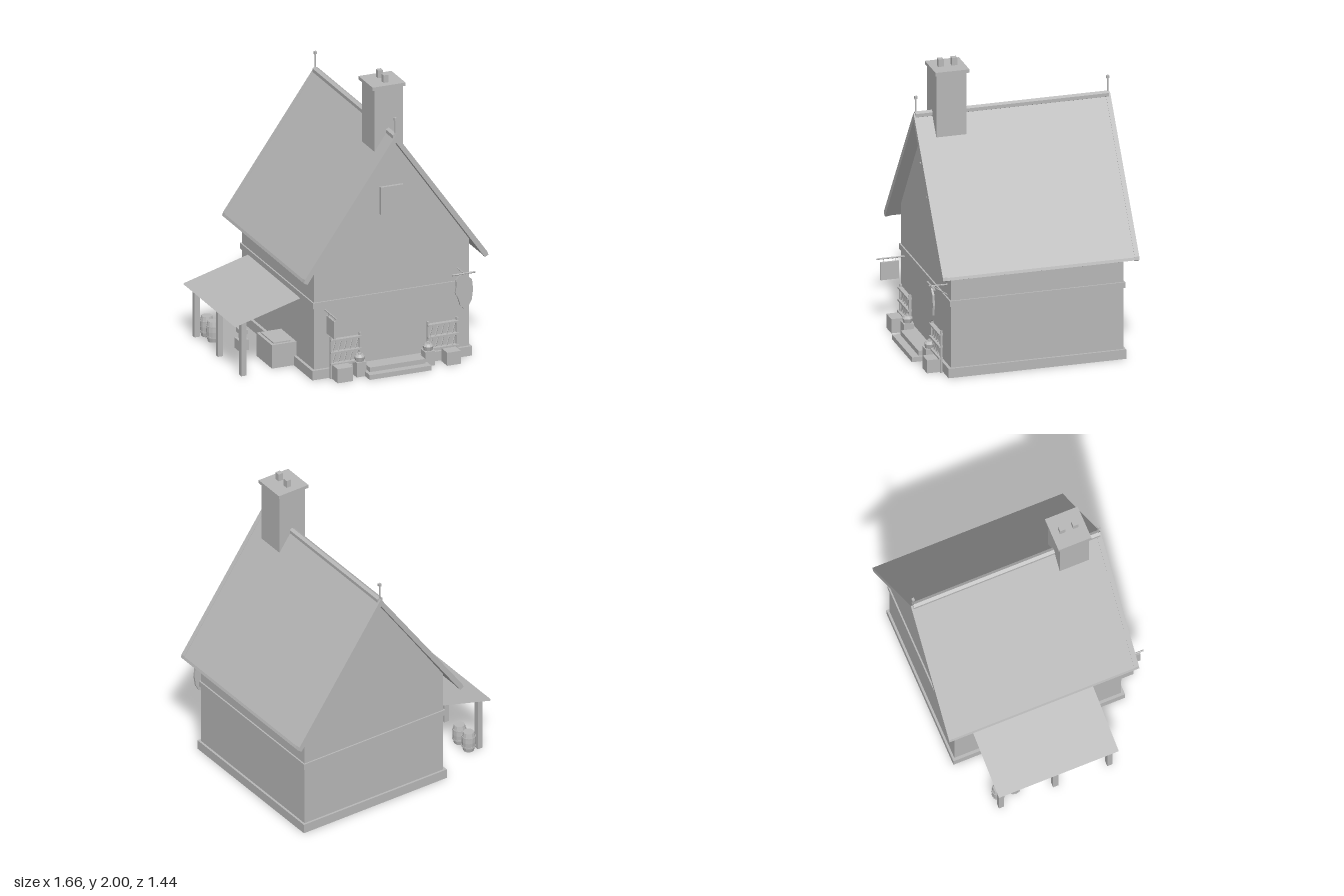
import * as THREE from 'three';

export function createModel() {
  const model = new THREE.Group();
  const stone = new THREE.MeshStandardMaterial({ color: 0xb8b8b8, flatShading: true });
  stone.name = 'plain grey';
  const sheet = stone.clone();
  sheet.name = 'plain grey sheet';
  sheet.side = THREE.DoubleSide;

  function add(name, geometry, parent = model, material = stone) {
    const mesh = new THREE.Mesh(geometry, material);
    mesh.name = name;
    parent.add(mesh);
    return mesh;
  }
  // Box given by its limits on each axis
  function box(name, x0, x1, y0, y1, z0, z1, parent) {
    const m = add(name, new THREE.BoxGeometry(x1 - x0, y1 - y0, z1 - z0), parent);
    m.position.set((x0 + x1) / 2, (y0 + y1) / 2, (z0 + z1) / 2);
    return m;
  }
  // Flat outline pushed from z0 to z1
  function slab(name, points, z0, z1, parent) {
    const shape = new THREE.Shape(points.map(p => new THREE.Vector2(p[0], p[1])));
    const m = add(name, new THREE.ExtrudeGeometry(shape, { depth: z1 - z0, bevelEnabled: false }), parent);
    m.position.z = z0;
    return m;
  }
  // Straight rod between two points
  function rod(name, a, b, r, parent, sides = 6) {
    const from = new THREE.Vector3(...a), to = new THREE.Vector3(...b);
    const dir = to.clone().sub(from);
    const m = add(name, new THREE.CylinderGeometry(r, r, dir.length(), sides), parent);
    m.position.copy(from).add(to).multiplyScalar(0.5);
    m.quaternion.setFromUnitVectors(new THREE.Vector3(0, 1, 0), dir.normalize());
    return m;
  }
  function group(name, x = 0, y = 0, z = 0) {
    const g = new THREE.Group();
    g.name = name;
    g.position.set(x, y, z);
    model.add(g);
    return g;
  }

  // Walls
  const cx = 0.18;
  box('plinth', -0.385, 0.745, 0, 0.065, -0.655, 0.55);
  slab('walls', [[-0.365, 0.03], [0.73, 0.03], [0.73, 0.81], [cx, 1.6], [-0.365, 0.81]], -0.64, 0.53);
  box('wallBand', -0.375, 0.74, 0.49, 0.53, -0.65, 0.54);
  box('gableShutter', 0.1, 0.26, 1.075, 1.265, 0.53, 0.55);

  // Main roof: one chevron with raised boards at both gables
  const chevron = (lift, drop) => [
    [-0.465, 0.728 + lift], [-0.472, 0.71], [-0.447, 0.7 - drop], [cx, 1.592 - drop],
    [0.807, 0.7 - drop], [0.832, 0.71], [0.825, 0.728 + lift], [cx, 1.638 + lift]];
  slab('roof', chevron(0, 0), -0.715, 0.61);
  slab('frontGableBoard', chevron(0.004, 0.004), 0.583, 0.614);
  slab('backGableBoard', chevron(0.004, 0.004), -0.719, -0.688);
  rod('ridgeCap', [cx, 1.628, -0.705], [cx, 1.628, 0.605], 0.023, model, 6);
  for (const z of [0.598, -0.703]) {
    rod('finialRod', [cx, 1.62, z], [cx, 1.745, z], 0.005);
    box('finialTip', cx - 0.009, cx + 0.009, 1.738, 1.756, z - 0.009, z + 0.009);
  }

  // Chimney
  box('chimney', 0.08, 0.282, 1.495, 1.925, 0.285, 0.49);
  box('chimneyCap', 0.063, 0.296, 1.925, 1.948, 0.27, 0.5);
  for (const z of [0.34, 0.432]) box('chimneyPot', 0.163, 0.198, 1.948, 2, z - 0.018, z + 0.018);

  // Side lean-to: thin sloping roof on three posts
  for (const lower of [0, 0.008]) {
    const g = new THREE.PlaneGeometry(Math.hypot(0.46, 0.13), 0.84);
    g.rotateX(-Math.PI / 2).rotateZ(Math.atan2(0.13, 0.46));
    add('leanToRoof', g, model, sheet).position.set(-0.6, 0.43 - lower, -0.1);
  }
  for (const z of [-0.48, -0.1, 0.28]) box('leanToPost', -0.777, -0.74, 0, 0.37, z - 0.018, z + 0.018);

  // Barrels, work block and chest below the lean-to
  for (const z of [-0.465, -0.36]) {
    const profile = [[0, 0], [0.036, 0], [0.044, 0.035], [0.046, 0.07], [0.044, 0.105], [0.036, 0.14], [0, 0.14]];
    const g = new THREE.LatheGeometry(profile.map(p => new THREE.Vector2(p[0], p[1])), 12);
    add('barrel', g).position.set(-0.69, 0, z);
    for (const y of [0.035, 0.105]) {
      add('barrelHoop', new THREE.CylinderGeometry(0.047, 0.047, 0.01, 12)).position.set(-0.69, y, z);
    }
  }
  box('workBlock', -0.612, -0.542, 0, 0.072, -0.19, -0.12);
  box('workBlockNeck', -0.592, -0.56, 0.072, 0.112, -0.172, -0.138);
  box('workBlockTop', -0.602, -0.55, 0.112, 0.142, -0.195, -0.115);
  box('chest', -0.54, -0.366, 0, 0.162, 0, 0.25);
  box('chestLid', -0.52, -0.4, 0.162, 0.17, 0.02, 0.23);

  // Door steps
  box('lowerStep', -0.04, 0.395, 0, 0.033, 0.53, 0.69);
  box('upperStep', -0.018, 0.375, 0.033, 0.065, 0.53, 0.64);

  // Trellises with slanted slats
  for (const x of [-0.158, 0.528]) {
    const t = group('trellis', x, 0, 0.565);
    for (const s of [-1, 1]) box('trellisPost', s * 0.103 - 0.006, s * 0.103 + 0.006, 0, 0.29, -0.008, 0.008, t);
    for (const y of [0.1, 0.18, 0.265]) box('trellisRail', -0.108, 0.108, y - 0.006, y + 0.006, -0.012, 0.018, t);
    for (const y of [0.1, 0.18]) {
      for (let i = 0; i < 5; i++) {
        const sx = -0.08 + i * 0.04;
        rod('trellisSlat', [sx - 0.012, y, 0], [sx + 0.012, y + 0.083, 0], 0.005, t, 4);
      }
    }
  }
  box('leftPlanter', -0.255, -0.148, 0, 0.098, 0.56, 0.663);
  box('rightPlanter', 0.522, 0.618, 0, 0.09, 0.56, 0.657);

  // Stands with lidded pots beside the door
  for (const x of [-0.064, 0.42]) {
    box('potStand', x - 0.035, x + 0.035, 0, 0.1, 0.545, 0.615);
    const p = group('lidPot', x, 0, 0.58);
    add('potBody', new THREE.CylinderGeometry(0.036, 0.028, 0.03, 10), p).position.y = 0.115;
    add('potLid', new THREE.CylinderGeometry(0.022, 0.036, 0.016, 10), p).position.y = 0.138;
    add('potKnob', new THREE.CylinderGeometry(0.01, 0.012, 0.012, 8), p).position.y = 0.151;
  }

  // Hanging board
  rod('boardArm', [-0.287, 0.47, 0.53], [-0.287, 0.47, 0.72], 0.006);
  box('hangingBoard', -0.294, -0.281, 0.322, 0.445, 0.57, 0.695);
  for (const z of [0.59, 0.675]) rod('boardHanger', [-0.287, 0.44, z], [-0.287, 0.47, z], 0.003);

  // Cloth on a bracketed rail
  rod('clothRail', [0.565, 0.615, 0.638], [0.728, 0.615, 0.638], 0.006);
  rod('railArm', [0.65, 0.615, 0.53], [0.65, 0.615, 0.645], 0.005);
  rod('railBrace', [0.65, 0.545, 0.53], [0.65, 0.61, 0.625], 0.004);
  slab('hangingCloth', [[0.615, 0.61], [0.59, 0.58], [0.592, 0.535], [0.585, 0.49], [0.605, 0.45], [0.62, 0.4],
    [0.648, 0.37], [0.675, 0.385], [0.7, 0.43], [0.71, 0.5], [0.702, 0.57], [0.685, 0.585], [0.665, 0.61]], 0.632, 0.646);

  return model;
}
